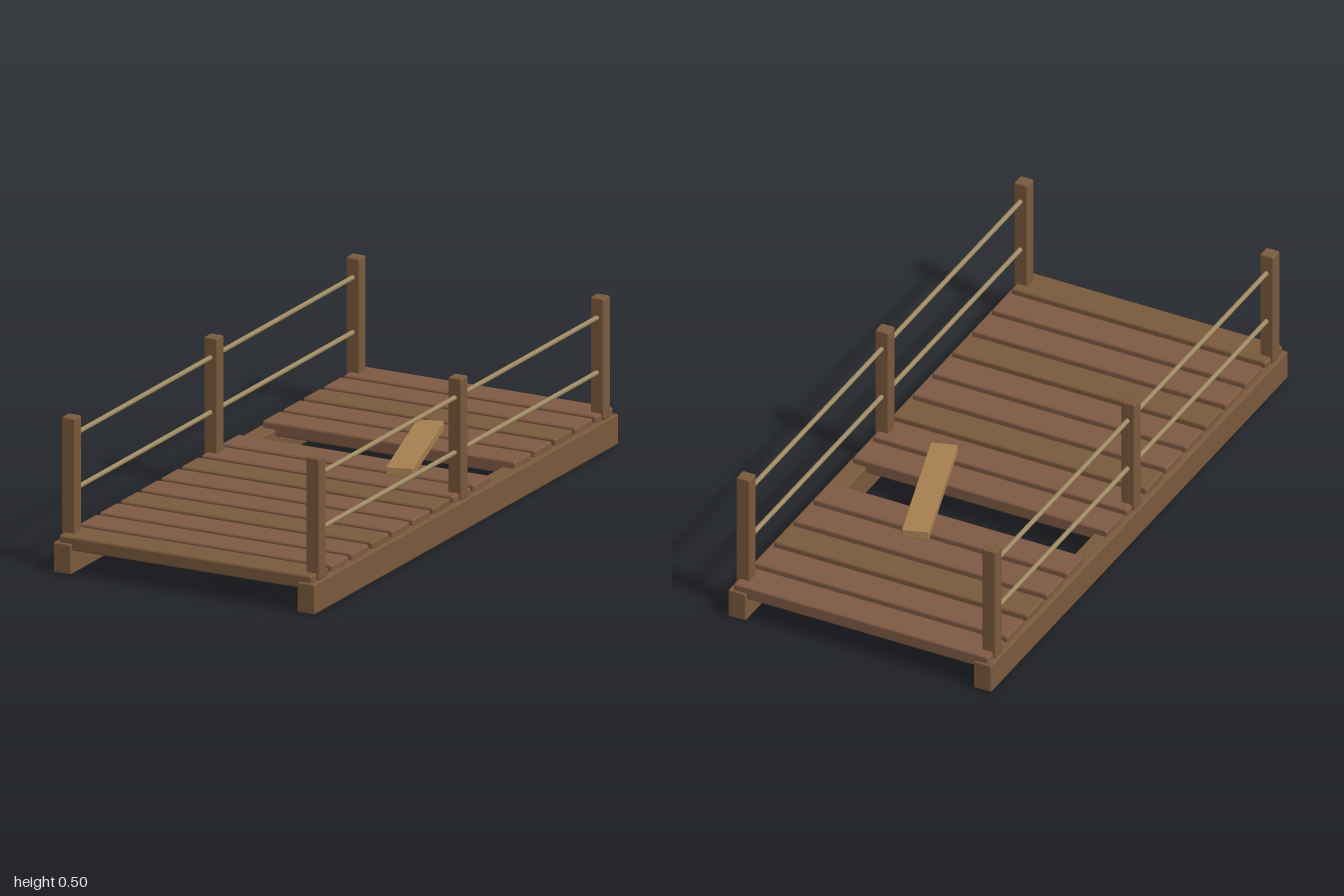
import * as THREE from 'three';
import { RoundedBoxGeometry } from 'three/addons/geometries/RoundedBoxGeometry.js';

const material = (color) => new THREE.MeshStandardMaterial({ color });

export function createModel() {
  const group = new THREE.Group();
  const wood = material(0x7a5a3c);
  const redWood = material(0x805a44);
  const paleWood = material(0xa88052);
  const rope = material(0xa08c64);

  const add = (name, geometry, mat, x, y, z) => {
    const mesh = new THREE.Mesh(geometry, mat);
    mesh.name = name;
    mesh.position.set(x, y, z);
    group.add(mesh);
    return mesh;
  };

  // Shared softly bevelled timbers
  const beamGeo = new RoundedBoxGeometry(0.064, 0.1, 2, 1, 0.006);
  const plankGeo = new RoundedBoxGeometry(0.9, 0.046, 0.113, 1, 0.008);
  const postGeo = new RoundedBoxGeometry(0.048, 0.4, 0.046, 1, 0.006);
  const ropeGeo = new THREE.CylinderGeometry(0.008, 0.008, 0.935, 8).rotateX(Math.PI / 2);

  // Deck planks, with one missing
  const spacing = 0.1337;
  for (let i = 0; i < 15; i++) {
    if (i === 5) continue;
    add('deckPlank', plankGeo, i % 3 === 2 ? wood : redWood, 0, 0.1, (i - 7) * spacing);
  }

  // Each side: long beam, three posts, two ropes per bay
  for (const [side, s] of [['left', 1], ['right', -1]]) {
    add(side + 'Beam', beamGeo, wood, s * 0.433, 0.05, 0);
    for (const z of [-0.935, 0, 0.935]) {
      add(side + 'Post', postGeo, wood, s * 0.434, 0.3, z);
    }
    for (const y of [0.255, 0.435]) {
      for (const z of [-0.4675, 0.4675]) {
        add(side + 'RopeRail', ropeGeo, rope, s * 0.434, y, z);
      }
    }
  }

  // Loose plank lying across the gap
  const loose = add('loosePlank', new RoundedBoxGeometry(0.087, 0.03, 0.5, 1, 0.003),
    paleWood, 0.134, 0.141, -0.271);
  loose.rotation.y = 0.3;

  return group;
}
